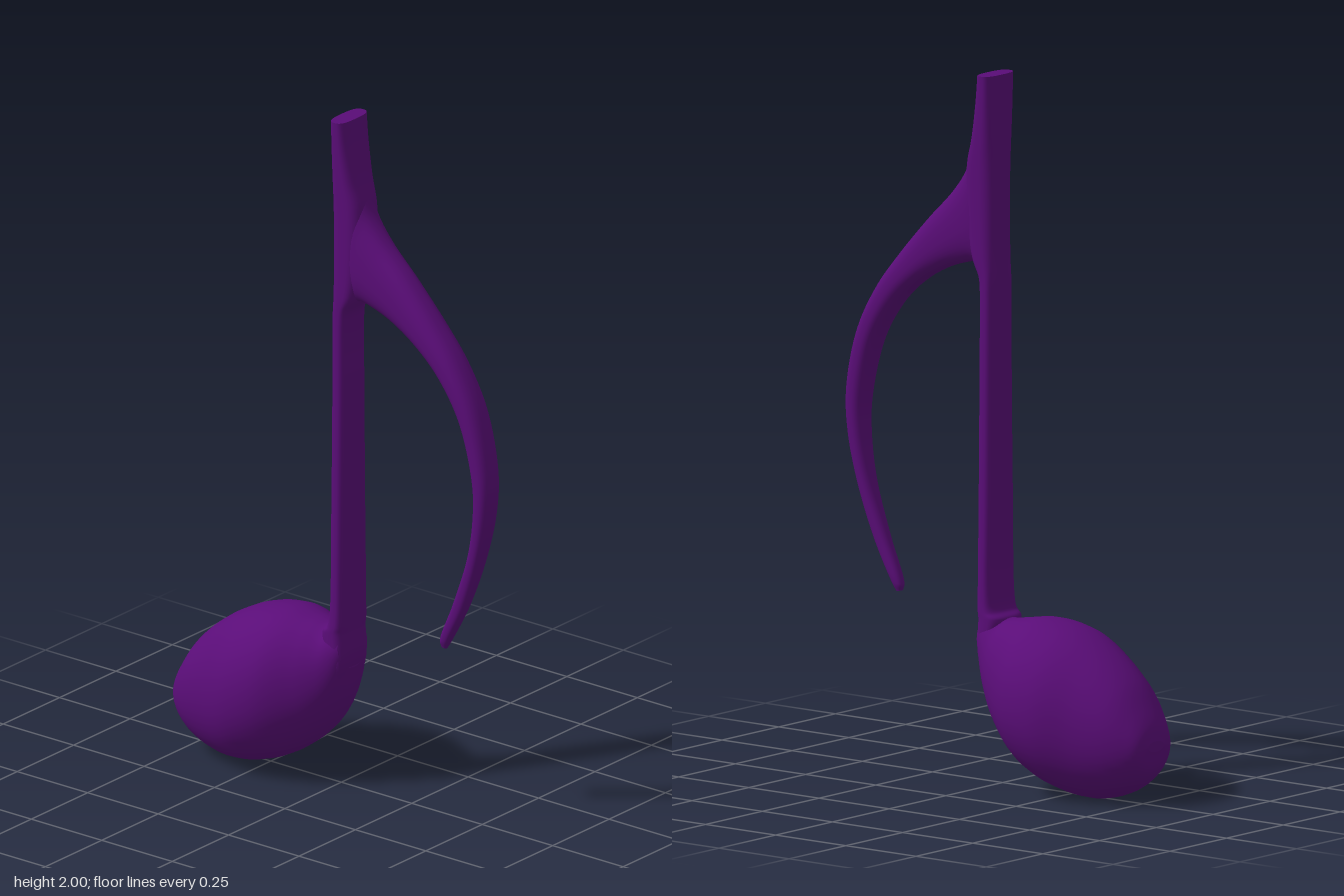
import * as THREE from 'three';

// Lofts a closed skin through rings [ax, ay, bx, by, halfDepth]: each ring spans
// a to b in the xy plane and +-halfDepth in z; power 2 is an ellipse, more is boxier.
function loft(rings, power, steps, sides = 40) {
  const curve = (i, j) => new THREE.CatmullRomCurve3(
    rings.map(r => new THREE.Vector3(r[i], r[j], r[4])), false, 'centripetal');
  const a = curve(0, 1), b = curve(2, 3);
  const positions = [], index = [];
  const round = v => Math.sign(v) * Math.abs(v) ** (2 / power);
  const addRing = t => {
    const p = a.getPoint(t), q = b.getPoint(t), depth = (p.z + q.z) / 2;
    for (let s = 0; s < sides; s++) {
      const angle = s / sides * Math.PI * 2;
      const k = (1 + round(Math.cos(angle))) / 2;
      positions.push(q.x + (p.x - q.x) * k, q.y + (p.y - q.y) * k, depth * round(Math.sin(angle)));
    }
  };
  for (let i = 0; i <= steps; i++) addRing(i / steps);
  for (let i = 0; i < steps; i++) {
    for (let s = 0; s < sides; s++) {
      const n = (s + 1) % sides, c = i * sides, d = c + sides;
      index.push(c + s, c + n, d + s, c + n, d + n, d + s);
    }
  }
  // Flat end caps with their own corners, so the rims stay sharp
  for (const end of [0, 1]) {
    const start = positions.length / 3;
    addRing(end);
    for (let s = 1; s < sides - 1; s++) {
      if (end) index.push(start, start + s, start + s + 1);
      else index.push(start, start + s + 1, start + s);
    }
  }
  // Turn the skin outwards if the rings ran the other way
  const v = i => new THREE.Vector3().fromArray(positions, i * 3);
  let volume = 0;
  for (let i = 0; i < index.length; i += 3) {
    volume += v(index[i]).dot(v(index[i + 1]).cross(v(index[i + 2])));
  }
  if (volume < 0) index.reverse();
  const geometry = new THREE.BufferGeometry();
  geometry.setAttribute('position', new THREE.Float32BufferAttribute(positions, 3));
  geometry.setIndex(index);
  geometry.computeVertexNormals();
  return geometry;
}

export function createModel() {
  const group = new THREE.Group();
  const purple = new THREE.MeshStandardMaterial({ color: 0x5a0d78 });
  purple.name = 'purple';
  const add = (name, geometry) => {
    const mesh = new THREE.Mesh(geometry, purple);
    mesh.name = name;
    group.add(mesh);
  };

  // Tilted oval head: lower outline, upper outline, half depth
  add('noteHead', loft([
    [-0.547, 0.155, -0.547, 0.185, 0.035],
    [-0.535, 0.10, -0.537, 0.225, 0.075],
    [-0.505, 0.06, -0.51, 0.275, 0.105],
    [-0.45, 0.025, -0.46, 0.345, 0.138],
    [-0.36, 0.003, -0.37, 0.42, 0.172],
    [-0.25, 0.018, -0.27, 0.47, 0.207],
    [-0.15, 0.06, -0.17, 0.488, 0.197],
    [-0.05, 0.14, -0.08, 0.478, 0.14],
    [0.0, 0.21, -0.03, 0.472, 0.105],
    [0.03, 0.28, 0.0, 0.485, 0.083],
    [0.048, 0.36, 0.03, 0.49, 0.065],
  ], 2.1, 70));

  // Stem: left and right edges by height, flaring into the head and the flag
  const stemRings = [
    [0.30, 0.0, 0.03, 0.06], [0.38, -0.01, 0.05, 0.07], [0.47, -0.03, 0.05, 0.07],
    [0.49, -0.011, 0.05, 0.069], [0.53, -0.003, 0.05, 0.067], [0.8, -0.001, 0.05, 0.062],
    [1.2, 0, 0.05, 0.057], [1.39, 0, 0.05, 0.056], [1.43, 0, 0.055, 0.056],
    [1.48, 0, 0.08, 0.057], [1.6, 0, 0.10, 0.058], [1.74, 0, 0.10, 0.06],
    [1.82, 0, 0.08, 0.062], [1.92, 0, 0.062, 0.064], [2.0, 0, 0.053, 0.065],
  ];
  add('stem', loft(stemRings.map(([y, left, right, depth]) => [left, y, right, y, depth]), 2.9, 90));

  // Curved flag: outer edge, inner edge, half depth, tapering to the tip
  add('flag', loft([
    [0.06, 1.86, 0.05, 1.42, 0.05],
    [0.08, 1.81, 0.06, 1.45, 0.055],
    [0.11, 1.73, 0.08, 1.463, 0.056],
    [0.16, 1.66, 0.13, 1.455, 0.055],
    [0.25, 1.57, 0.20, 1.43, 0.053],
    [0.35, 1.46, 0.28, 1.385, 0.052],
    [0.43, 1.36, 0.36, 1.315, 0.05],
    [0.50, 1.23, 0.435, 1.20, 0.047],
    [0.54, 1.06, 0.48, 1.03, 0.042],
    [0.537, 0.94, 0.482, 0.93, 0.038],
    [0.507, 0.80, 0.46, 0.80, 0.031],
    [0.45, 0.64, 0.405, 0.645, 0.023],
    [0.39, 0.525, 0.355, 0.52, 0.016],
    [0.375, 0.498, 0.358, 0.502, 0.008],
  ], 2.4, 90));

  return group;
}
